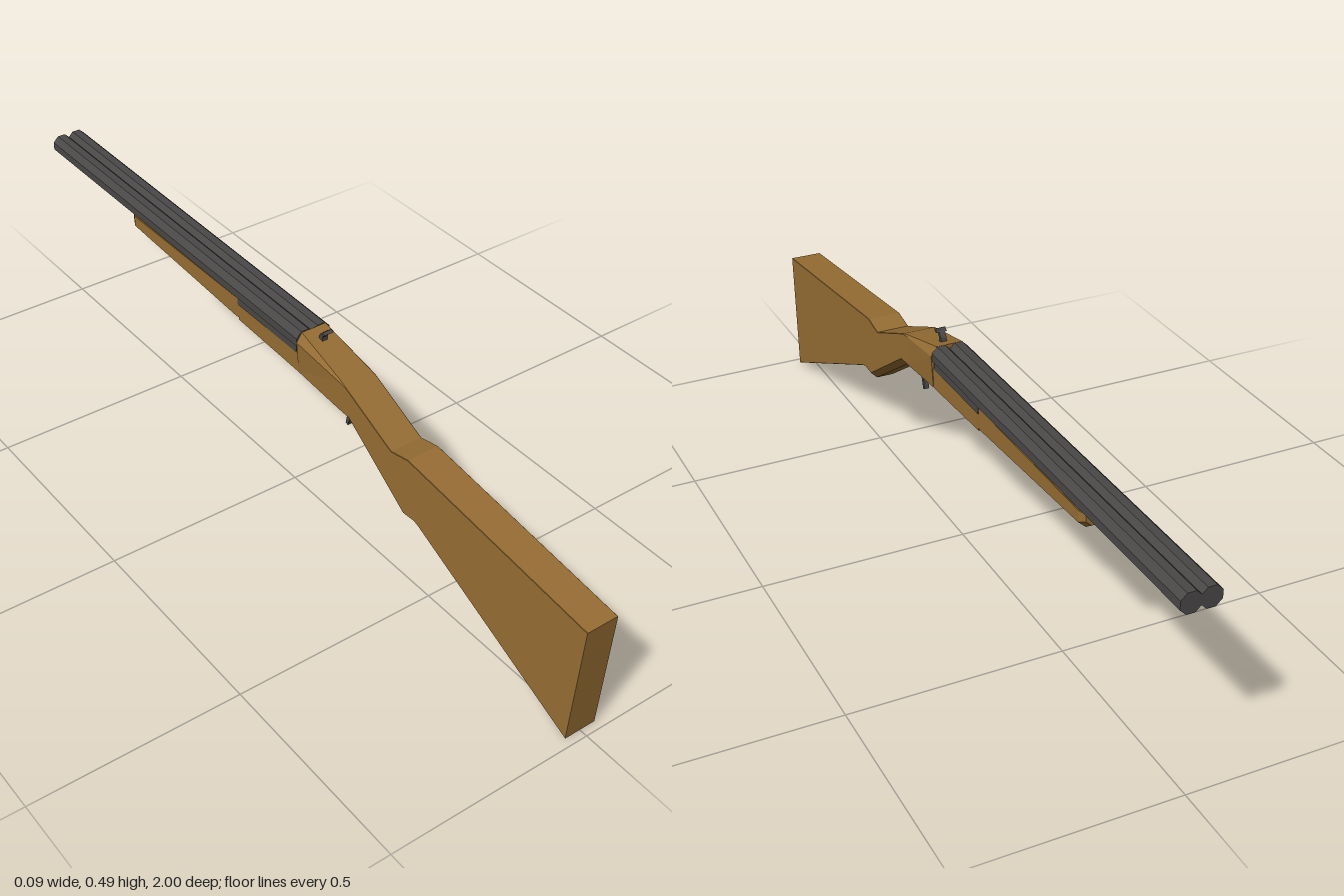
import * as THREE from 'three';

const wood = new THREE.MeshStandardMaterial({ color: 0x966d33, flatShading: true });
wood.name = 'wood';
const steel = new THREE.MeshStandardMaterial({ color: 0x4a4747, flatShading: true });
steel.name = 'steel';

// Eight-sided cross-section: top and bottom points (z, y), half width, top and bottom chamfers
function section({ top, bottom, w, tx = 0.001, ty = 0.001, bx = 0.001, by = 0.001, wb = w }) {
  const [zt, yt] = top, [zb, yb] = bottom;
  const at = (x, y) => [x, y, zb + (zt - zb) * (y - yb) / (yt - yb)];
  const right = [[wb - bx, yb], [wb, yb + by], [w, yt - ty], [w - tx, yt]];
  const left = right.map(([x, y]) => [-x, y]).reverse();
  return [...right, ...left].map(([x, y]) => at(x, y));
}

// Skin over cross-sections ordered from the rear (+z) to the muzzle (-z)
function loft(name, specs) {
  const rings = specs.map(section), n = 8, last = rings.length - 1, pos = [];
  const tri = (...p) => p.forEach(v => pos.push(...v));
  for (let s = 0; s < last; s++) {
    for (let i = 0; i < n; i++) {
      const j = (i + 1) % n, a = rings[s], b = rings[s + 1];
      tri(a[i], b[i], b[j]);
      tri(a[i], b[j], a[j]);
    }
  }
  for (let i = 1; i < n - 1; i++) {
    tri(rings[0][0], rings[0][i], rings[0][i + 1]);
    tri(rings[last][0], rings[last][i + 1], rings[last][i]);
  }
  const geo = new THREE.BufferGeometry();
  geo.setAttribute('position', new THREE.Float32BufferAttribute(pos, 3));
  geo.computeVertexNormals();
  const mesh = new THREE.Mesh(geo, wood);
  mesh.name = name;
  return mesh;
}

// Flat part cut from a (z, y) outline and centred on x = 0
function plate(name, outline, width) {
  const shape = new THREE.Shape(outline.map(([z, y]) => new THREE.Vector2(z, y)));
  const geo = new THREE.ExtrudeGeometry(shape, { depth: width, bevelEnabled: false });
  geo.rotateY(-Math.PI / 2).translate(width / 2, 0, 0);
  const mesh = new THREE.Mesh(geo, steel);
  mesh.name = name;
  return mesh;
}

export function createModel() {
  const model = new THREE.Group();
  model.name = 'shotgun';

  // Shoulder stock
  model.add(loft('stock', [
    { top: [1, 0.31], bottom: [0.98, 0], w: 0.04 },
    { top: [0.455, 0.372], bottom: [0.5, 0.222], w: 0.041 },
    { top: [0.4, 0.36], bottom: [0.482, 0.228], w: 0.041 },
  ]));

  // Chamfered grip rising into the receiver
  model.add(loft('grip', [
    { top: [0.4, 0.36], bottom: [0.495, 0.222], w: 0.041, bx: 0.012, by: 0.006 },
    { top: [0.39, 0.364], bottom: [0.458, 0.203], w: 0.041, bx: 0.02, by: 0.022 },
    { top: [0.24, 0.43], bottom: [0.258, 0.338], w: 0.041, bx: 0.02, by: 0.02 },
    { top: [0.215, 0.437], bottom: [0.215, 0.36], w: 0.042, tx: 0.004, ty: 0.004 },
    { top: [0.07, 0.473], bottom: [0.07, 0.37], w: 0.046, wb: 0.041, tx: 0.014, ty: 0.022 },
  ]));

  // Receiver cradle under the breech
  model.add(loft('receiver', [
    { top: [0.07, 0.422], bottom: [0.07, 0.37], w: 0.041 },
    { top: [-0.165, 0.422], bottom: [-0.165, 0.379], w: 0.04 },
  ]));

  // Fore-end with chamfered underside and tip
  model.add(loft('foreEnd', [
    { top: [-0.155, 0.438], bottom: [-0.155, 0.379], w: 0.04, bx: 0.012, by: 0.008 },
    { top: [-0.175, 0.438], bottom: [-0.175, 0.37], w: 0.041, bx: 0.018, by: 0.016 },
    { top: [-0.615, 0.436], bottom: [-0.615, 0.392], w: 0.04, bx: 0.018, by: 0.016 },
    { top: [-0.632, 0.434], bottom: [-0.632, 0.404], w: 0.032, bx: 0.014, by: 0.012 },
  ]));

  // Twin octagonal barrels, rising slightly toward the muzzle
  const yBreech = 0.45, yMuzzle = 0.459, zBreech = 0.068, zMuzzle = -1;
  const length = zBreech - zMuzzle;
  for (const side of [-1, 1]) {
    const geo = new THREE.CylinderGeometry(0.0255, 0.0255, length, 8);
    geo.rotateY(Math.PI / 8).rotateX(-Math.PI / 2);
    const barrel = new THREE.Mesh(geo, steel);
    barrel.name = side > 0 ? 'leftBarrel' : 'rightBarrel';
    barrel.position.set(side * 0.0215, (yBreech + yMuzzle) / 2, (zBreech + zMuzzle) / 2);
    barrel.rotation.x = Math.atan2(yMuzzle - yBreech, length);
    model.add(barrel);
  }

  // Steel block joining the barrels to the receiver
  model.add(plate('breechBlock', [[0.062, 0.42], [0.066, 0.45], [-0.165, 0.45], [-0.165, 0.422]], 0.084));

  // Opening lever: stem and wider thumb pad
  model.add(plate('leverStem', [[0.098, 0.455], [0.112, 0.455], [0.111, 0.472], [0.122, 0.487], [0.115, 0.49], [0.101, 0.475]], 0.014));
  model.add(plate('leverPad', [[0.11, 0.485], [0.12, 0.482], [0.127, 0.488], [0.119, 0.492]], 0.024));

  // Curved trigger
  model.add(plate('trigger', [
    [0.148, 0.37], [0.168, 0.352], [0.196, 0.336], [0.204, 0.318], [0.199, 0.294],
    [0.207, 0.292], [0.215, 0.318], [0.205, 0.344], [0.18, 0.362], [0.168, 0.37],
  ].reverse(), 0.012));

  return model;
}
